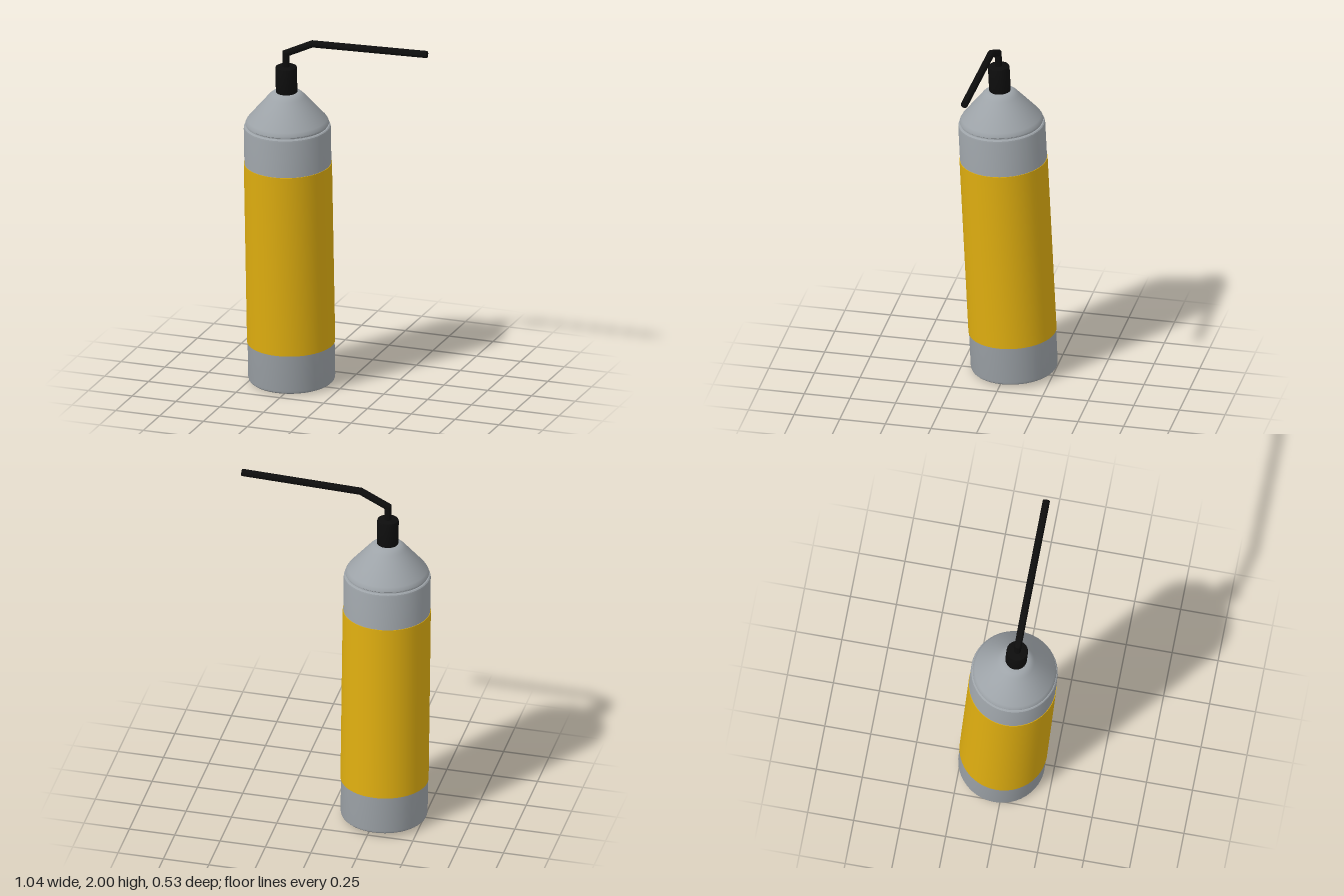
import * as THREE from 'three';
import { toCreasedNormals } from 'three/addons/utils/BufferGeometryUtils.js';

const mat = (name, color) => {
  const m = new THREE.MeshStandardMaterial({ color });
  m.name = name;
  return m;
};

// Turned part from [radius, height] pairs, listed from bottom to top
function turned(name, profile, material, sides = 48) {
  const points = profile.map(([r, y]) => new THREE.Vector2(r, y));
  const mesh = new THREE.Mesh(toCreasedNormals(new THREE.LatheGeometry(points, sides), 0.5), material);
  mesh.name = name;
  return mesh;
}

// Round rod along a path in the xy plane with mitred corners
function bentRod(name, path, radius, material) {
  const last = path.length - 1;
  const points = path.map(([x, y]) => new THREE.Vector2(x, y));
  const dirs = points.slice(1).map((p, i) => p.clone().sub(points[i]).normalize());
  const geo = new THREE.CylinderGeometry(radius, radius, last, 12, last);
  const pos = geo.attributes.position;
  for (let i = 0; i < pos.count; i++) {
    const ring = Math.round(pos.getY(i) + last / 2);
    const a = dirs[Math.max(ring - 1, 0)];
    const b = dirs[Math.min(ring, last - 1)];
    const t = a.clone().add(b).normalize();
    const s = pos.getX(i) / t.dot(a);
    pos.setXY(i, points[ring].x + t.y * s, points[ring].y - t.x * s);
  }
  const mesh = new THREE.Mesh(toCreasedNormals(geo, 0.7), material);
  mesh.name = name;
  return mesh;
}

export function createModel() {
  const grey = mat('grey metal', 0x9ea4a9);
  const yellow = mat('yellow label', 0xdfae10);
  const black = mat('black plastic', 0x0d0d0d);

  const model = new THREE.Group();
  model.name = 'sprayCan';

  // The whole can leans slightly forward
  const can = new THREE.Group();
  can.name = 'leaningCan';
  can.position.set(-0.287, 0.011, -0.032);
  can.rotation.x = 0.048;
  model.add(can);

  // Cylinder with rounded foot and shoulder edge
  can.add(turned('body', [
    [0, 0], [0.213, 0], [0.223, 0.003], [0.230, 0.010], [0.233, 0.022],
    [0.233, 1.452], [0.231, 1.461], [0.226, 1.466], [0.219, 1.467],
  ], grey));

  // Cone above a narrow groove
  can.add(turned('shoulder', [
    [0.219, 1.467], [0.219, 1.472], [0.224, 1.476], [0.223, 1.483], [0.213, 1.500],
    [0.101, 1.630], [0.092, 1.640], [0.080, 1.650], [0.066, 1.656], [0, 1.657],
  ], grey));

  // Thin wrap around the body
  can.add(turned('label', [
    [0.2325, 0.222], [0.236, 0.222], [0.236, 1.25], [0.2325, 1.25],
  ], yellow));

  // Nozzle cap and straw
  can.add(turned('nozzleCap', [
    [0.055, 1.645], [0.058, 1.66], [0.058, 1.793], [0.056, 1.799], [0.050, 1.802], [0, 1.802],
  ], black, 24));
  can.add(bentRod('straw', [
    [0, 1.79], [0, 1.877], [0.152, 1.95], [0.807, 1.970],
  ], 0.0195, black));

  return model;
}
